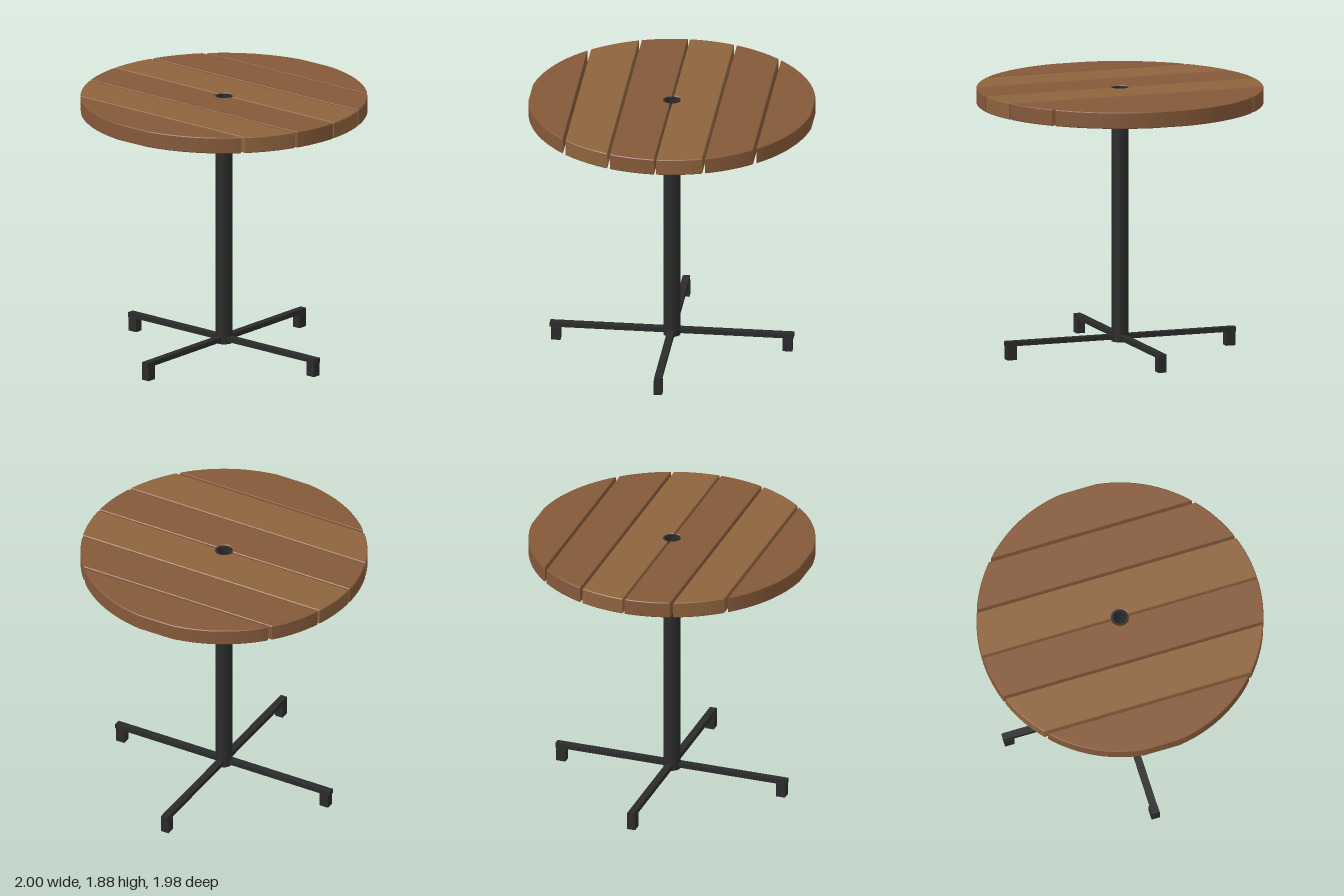
import * as THREE from 'three';
import { toCreasedNormals } from 'three/addons/utils/BufferGeometryUtils.js';

const metal = new THREE.MeshStandardMaterial({ color: 0x2b2b2b });
const woodDark = new THREE.MeshStandardMaterial({ color: 0x85593a });
const woodLight = new THREE.MeshStandardMaterial({ color: 0x8e633d });

const TOP = 1.88, UNDER = 1.765, BEVEL = 0.005;

function add(parent, name, geometry, material, x = 0, y = 0, z = 0) {
  const mesh = new THREE.Mesh(geometry, material);
  mesh.name = name;
  mesh.position.set(x, y, z);
  parent.add(mesh);
  return mesh;
}

// Hollow cylinder with crisp rims
function ring(inner, outer, bottom, top) {
  const profile = [[inner, bottom], [outer, bottom], [outer, top], [inner, top], [inner, bottom]]
    .map(([r, y]) => new THREE.Vector2(r, y));
  return toCreasedNormals(new THREE.LatheGeometry(profile, 48), 0.6);
}

// Plank between z0 and z1, cut to the round edge, optionally notched for the pole
function plankGeometry(z0, z1, notch) {
  const R = 1 - BEVEL, a = z0 + BEVEL, b = z1 - BEVEL, steps = 24;
  const t0 = Math.asin(a / R), t1 = Math.asin(b / R);
  const points = [];
  const arc = (r, from, to) => {
    for (let i = 0; i <= steps; i++) {
      const t = from + (to - from) * i / steps;
      points.push(new THREE.Vector2(r * Math.cos(t), r * Math.sin(t)));
    }
  };
  arc(R, t0, t1);
  arc(R, Math.PI - t1, Math.PI - t0);
  if (notch) {
    const r = 0.062 + BEVEL, t = Math.asin(a / r);
    arc(r, Math.PI - t, t);
  }
  const geometry = new THREE.ExtrudeGeometry(new THREE.Shape(points), {
    depth: TOP - UNDER - 2 * BEVEL,
    bevelEnabled: true, bevelSize: BEVEL, bevelThickness: BEVEL, bevelSegments: 1,
  });
  geometry.rotateX(Math.PI / 2);
  geometry.translate(0, TOP - BEVEL, 0);
  return toCreasedNormals(geometry, 0.5);
}

export function createModel() {
  const table = new THREE.Group();
  table.name = 'roundTable';

  // Slatted round top: three planks on each half
  const top = new THREE.Group();
  top.name = 'tableTop';
  table.add(top);
  const spans = [[0.007, 0.324], [0.342, 0.658], [0.676, 0.992]];
  const frontWood = [woodDark, woodLight, woodDark];
  const backWood = [woodLight, woodDark, woodDark];
  spans.forEach(([z0, z1], i) => {
    const geometry = plankGeometry(z0, z1, i === 0);
    add(top, 'frontPlank' + (i + 1), geometry, frontWood[i]);
    add(top, 'backPlank' + (i + 1), geometry, backWood[i]).rotation.y = Math.PI;
  });

  // Open tubular pole and the mounting flange under the top
  add(table, 'pole', ring(0.047, 0.06, 0.08, 1.875), metal);
  add(table, 'flange', ring(0.058, 0.237, 1.697, UNDER), metal);

  // Four arms, each with a foot and a flange bolt
  for (let i = 0; i < 4; i++) {
    const leg = new THREE.Group();
    leg.name = 'leg' + (i + 1);
    leg.rotation.y = i * Math.PI / 2;
    table.add(leg);
    add(leg, 'arm', new THREE.BoxGeometry(0.802, 0.034, 0.05), metal, 0.454, 0.114, 0);
    add(leg, 'foot', new THREE.BoxGeometry(0.068, 0.1, 0.06), metal, 0.813, 0.05, 0);
    add(leg, 'bolt', new THREE.CylinderGeometry(0.024, 0.024, 0.018, 6), metal, 0.19, 1.69, 0);
  }
  return table;
}
